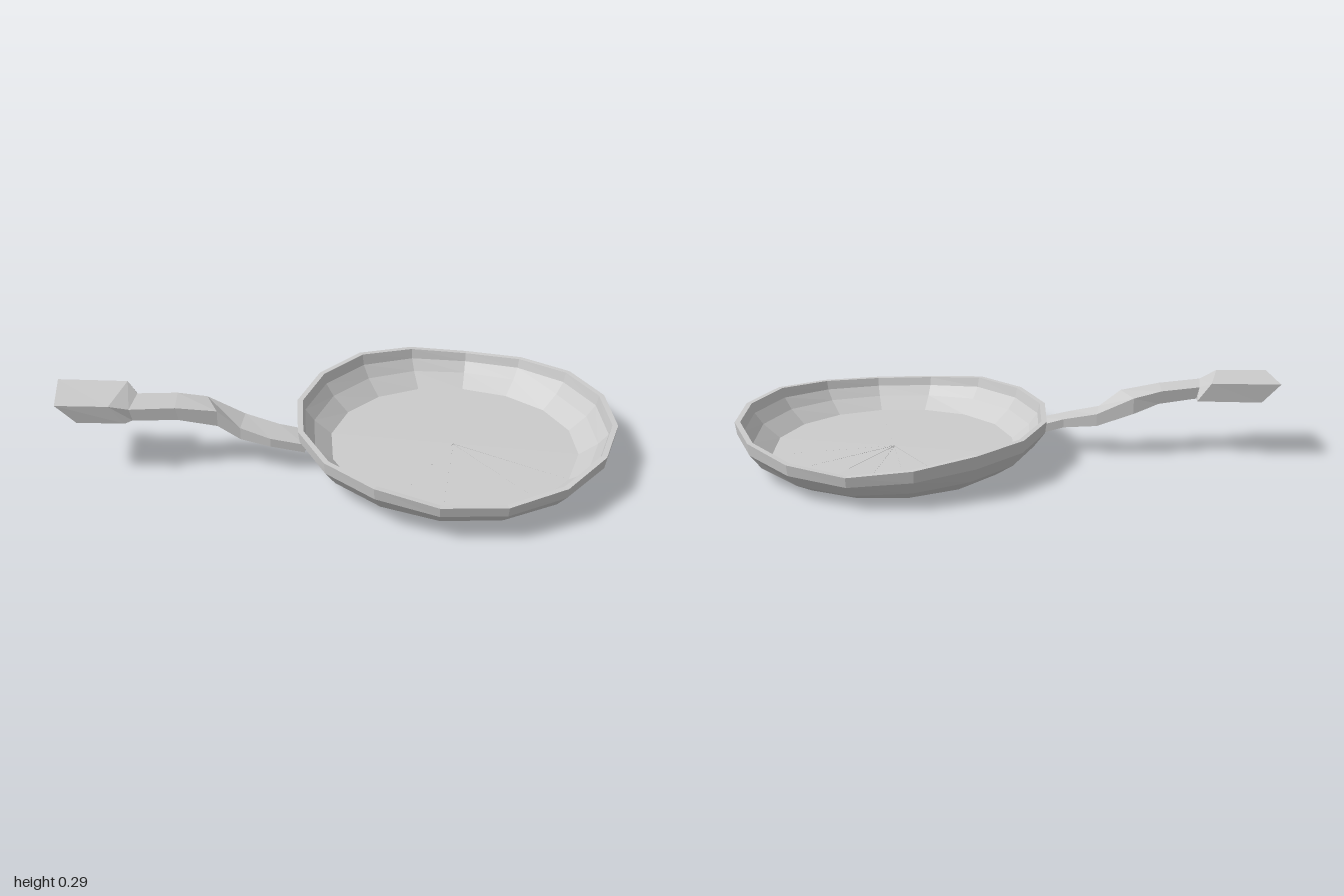
import * as THREE from 'three';

const material = new THREE.MeshStandardMaterial({ color: 0xcccccc, flatShading: true });

// Uneven rim height, one value per side, going round from the front towards +x
const RIM = [0.142, 0.138, 0.15, 0.167, 0.167, 0.165, 0.155, 0.135,
  0.122, 0.145, 0.167, 0.167, 0.167, 0.167, 0.167, 0.165];

// Pan profile: radius, and height as a fraction between base and rim
const PROFILE = [[0, 0], [0.46, 0], [0.535, 0.33], [0.576, 0.7], [0.582, 1],
  [0.562, 1], [0.553, 0.74], [0.52, 0.45], [0.455, 0.1], [0, 0.1]];

function createPan() {
  const sides = RIM.length;
  const points = PROFILE.map(([r, t]) => new THREE.Vector2(r, t));
  const geometry = new THREE.LatheGeometry(points, sides);
  const pos = geometry.attributes.position;
  for (let i = 0; i < pos.count; i++) {
    const side = Math.floor(i / points.length) % sides;
    const base = 0.02 - 0.037 * Math.max(0, -pos.getZ(i));
    pos.setY(i, base + pos.getY(i) * (RIM[side] - base));
  }
  geometry.computeVertexNormals();
  const pan = new THREE.Mesh(geometry, material);
  pan.name = 'pan';
  pan.position.x = 0.415;
  return pan;
}

// Handle sections: back x, back z, front x, front z, top y, bottom y, bottom shift in x
const SECTIONS = [
  [-1, 0.21, -0.945, 0.397, 0.295, 0.222, 0.066],
  [-0.75, 0.18, -0.76, 0.37, 0.293, 0.222, 0.05],
  [-0.705, 0.215, -0.7, 0.333, 0.266, 0.222, 0.01],
  [-0.57, 0.17, -0.55, 0.28, 0.256, 0.207, 0.01],
  [-0.47, 0.137, -0.41, 0.238, 0.232, 0.172, 0],
  [-0.335, 0.125, -0.33, 0.23, 0.166, 0.12, 0],
  [-0.21, 0.13, -0.22, 0.238, 0.137, 0.105, 0],
  [-0.11, 0.108, -0.1, 0.215, 0.11, 0.078, 0],
];

function createHandle() {
  const loops = SECTIONS.map(([xb, zb, xf, zf, top, bottom, shift]) => [
    [xb, top, zb], [xf, top, zf],
    [xf + shift, bottom, zf - shift * 0.3], [xb + shift, bottom, zb],
  ]);
  const vertices = [];
  const quad = (a, b, c, d) => [a, b, c, a, c, d].forEach((p) => vertices.push(...p));
  for (let s = 0; s < loops.length - 1; s++) {
    for (let k = 0; k < 4; k++) {
      const n = (k + 1) % 4;
      quad(loops[s][k], loops[s][n], loops[s + 1][n], loops[s + 1][k]);
    }
  }
  // End caps
  const first = loops[0];
  const last = loops[loops.length - 1];
  quad(first[3], first[2], first[1], first[0]);
  quad(last[0], last[1], last[2], last[3]);

  const geometry = new THREE.BufferGeometry();
  geometry.setAttribute('position', new THREE.Float32BufferAttribute(vertices, 3));
  geometry.computeVertexNormals();
  const handle = new THREE.Mesh(geometry, material);
  handle.name = 'handle';
  return handle;
}

export function createModel() {
  const group = new THREE.Group();
  group.name = 'fryingPan';
  group.add(createPan(), createHandle());
  return group;
}
